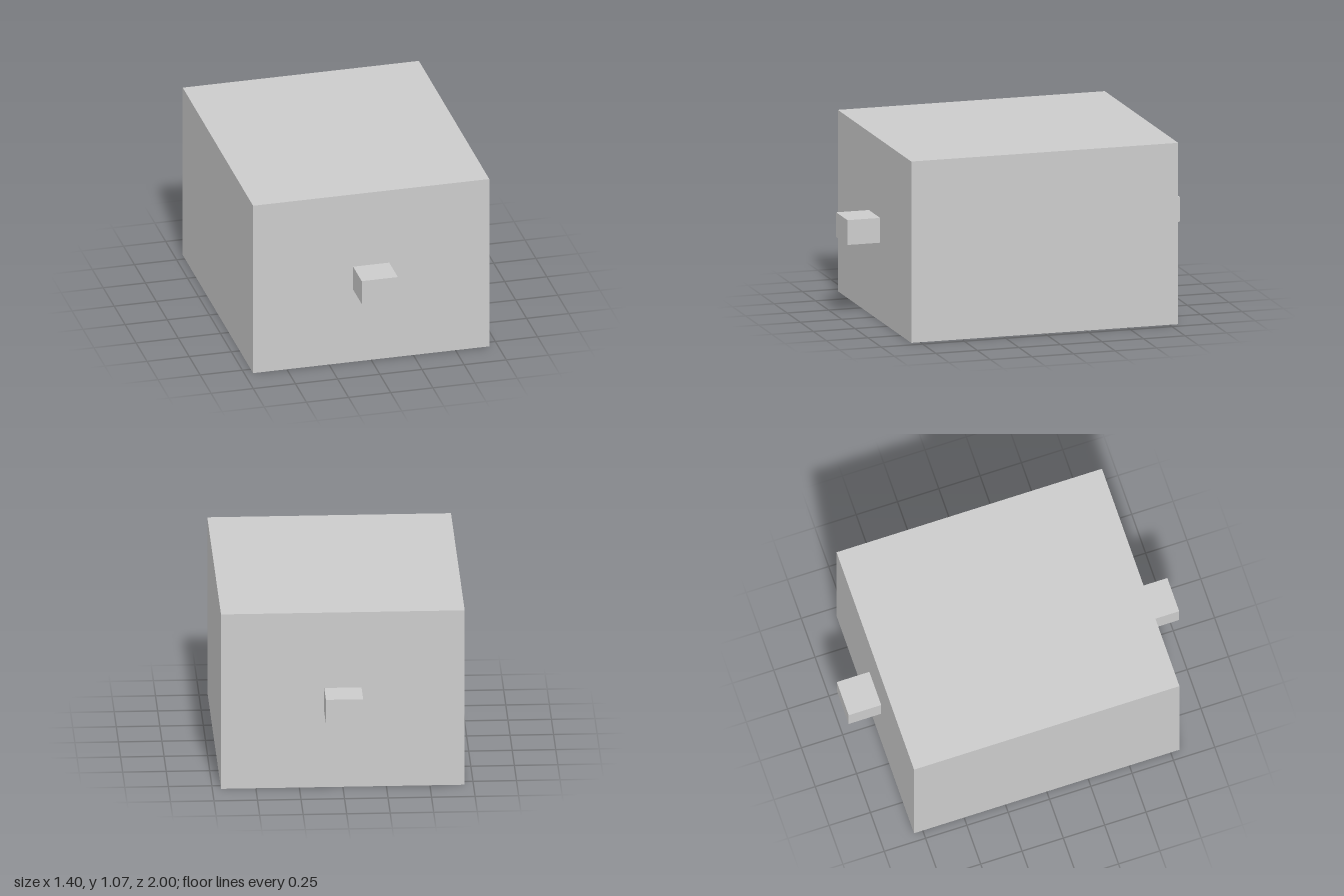
import * as THREE from 'three';

const WIDTH = 1.4, HEIGHT = 1.067, DEPTH = 1.606;
const TAB_WIDTH = 0.214, TAB_HEIGHT = 0.146;
const TAB_DEPTH = (2 - DEPTH) / 2; // tabs bring the full length to 2

export function createModel() {
  const group = new THREE.Group();
  group.name = 'blockWithTabs';
  const material = new THREE.MeshStandardMaterial({ color: 0xcccccc, flatShading: true });

  const addBox = (name, size, position) => {
    const mesh = new THREE.Mesh(new THREE.BoxGeometry(...size), material);
    mesh.name = name;
    mesh.position.set(...position);
    group.add(mesh);
  };

  // Main block
  addBox('body', [WIDTH, HEIGHT, DEPTH], [0, HEIGHT / 2, 0]);

  // Matching tabs in the middle of the front and back faces
  for (const [name, side] of [['frontTab', 1], ['backTab', -1]]) {
    addBox(name, [TAB_WIDTH, TAB_HEIGHT, TAB_DEPTH],
      [0, HEIGHT / 2, side * (DEPTH + TAB_DEPTH) / 2]);
  }

  return group;
}
